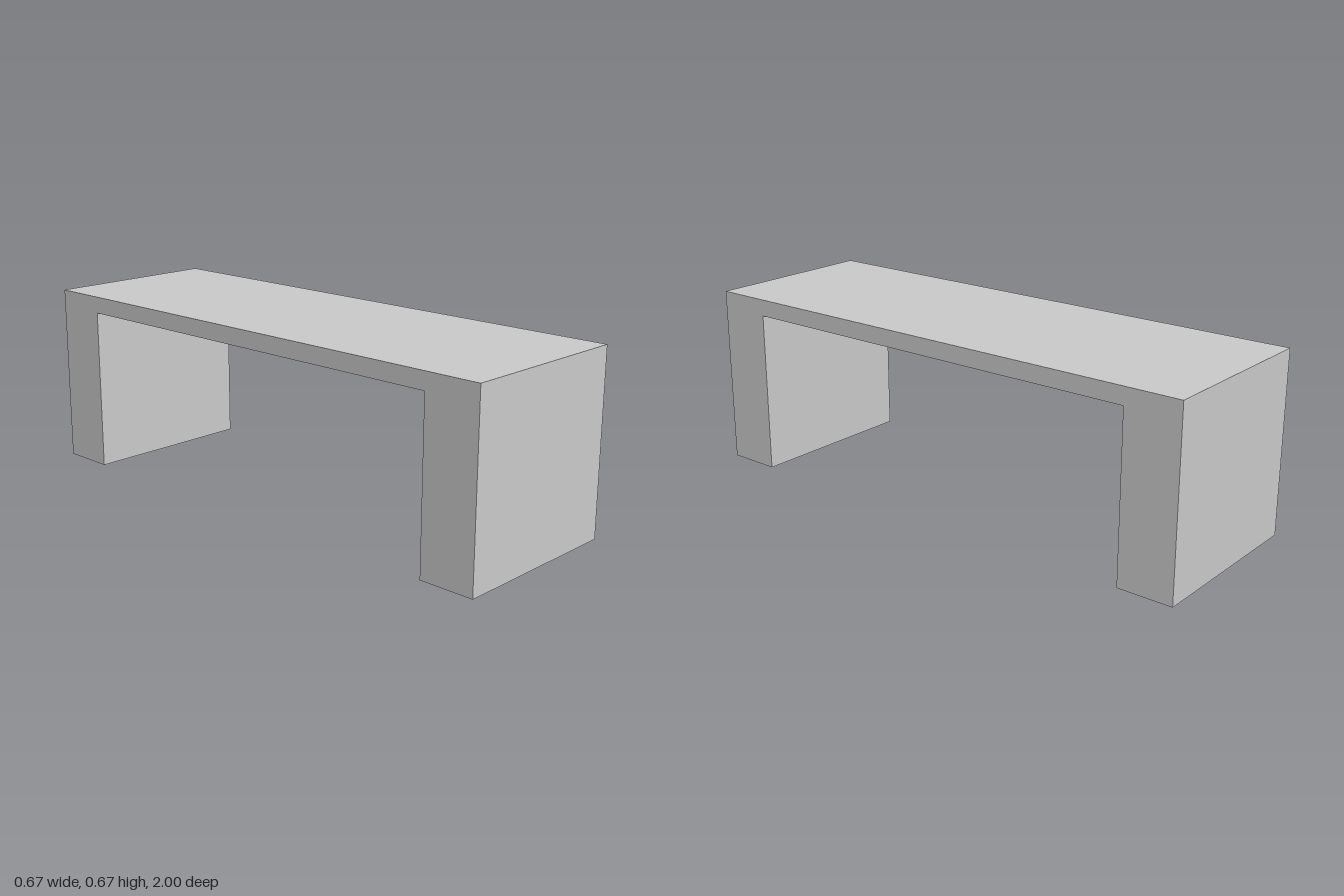
import * as THREE from 'three';

const WIDTH = 0.667;       // along x
const HEIGHT = 0.667;
const HALF_LENGTH = 1;     // along z
const INNER = 0.796;       // inner face of each leg
const UNDERSIDE = 0.605;   // underside of the top slab

export function createModel() {
  const group = new THREE.Group();
  group.name = 'bench';

  // Side profile: a slab carried by a solid leg at each end
  const profile = new THREE.Shape([
    [-HALF_LENGTH, 0], [-INNER, 0], [-INNER, UNDERSIDE], [INNER, UNDERSIDE],
    [INNER, 0], [HALF_LENGTH, 0], [HALF_LENGTH, HEIGHT], [-HALF_LENGTH, HEIGHT],
  ].map(([z, y]) => new THREE.Vector2(z, y)));

  // Extrude across the width, then turn the length onto z
  const geometry = new THREE.ExtrudeGeometry(profile, { depth: WIDTH, bevelEnabled: false });
  geometry.translate(0, 0, -WIDTH / 2).rotateY(Math.PI / 2);

  const body = new THREE.Mesh(geometry, new THREE.MeshStandardMaterial({ color: 0xcccccc }));
  body.name = 'benchTopAndLegs';
  group.add(body);
  return group;
}
